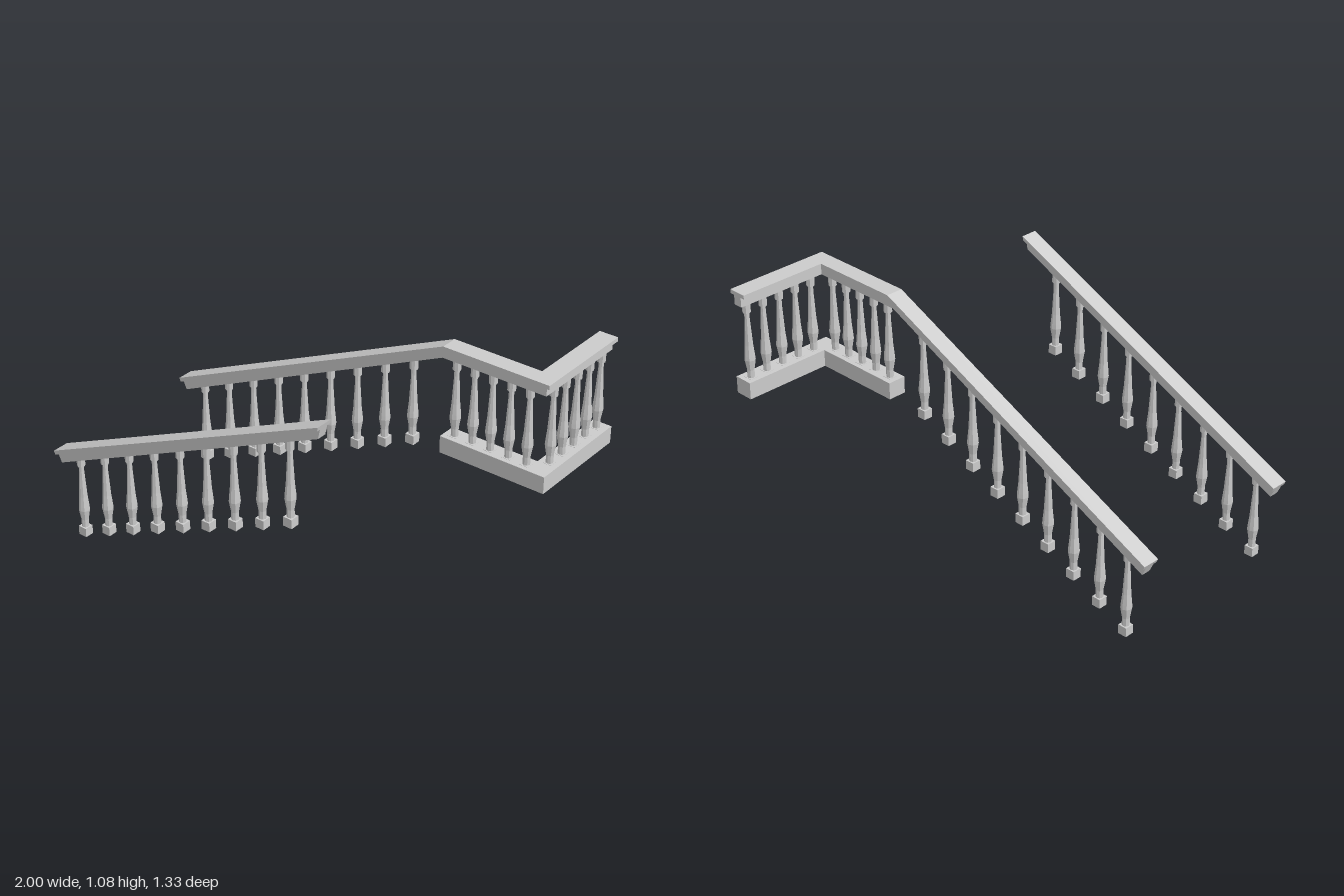
import * as THREE from 'three';

const RISE = 0.456;                    // slope of the stair rails
const ANGLE = Math.atan(RISE);
const BACK_Z = -0.194, FRONT_Z = 0.623, SIDE_X = 0.952;
const CAP_T = 0.019, RAIL_T = 0.065;   // depth of the cap, and of cap plus under-rail

export function createModel() {
  const model = new THREE.Group();
  const mat = new THREE.MeshStandardMaterial({ color: 0xcccccc, flatShading: true });

  const add = (parent, name, geo, x = 0, y = 0, z = 0) => {
    const mesh = new THREE.Mesh(geo, mat);
    mesh.name = name;
    mesh.position.set(x, y, z);
    parent.add(mesh);
    return mesh;
  };
  // Box given by its limits
  const box = (parent, name, x0, x1, y0, y1, z0, z1) =>
    add(parent, name, new THREE.BoxGeometry(x1 - x0, y1 - y0, z1 - z0),
      (x0 + x1) / 2, (y0 + y1) / 2, (z0 + z1) / 2);

  // Line of the rail at depth t below its top, square-cut at the foot, mitred at the bend
  const railLine = (t, endX) => {
    const pts = [
      [-1 + t * Math.sin(ANGLE), 0.405 - t * Math.cos(ANGLE)],
      [0.48 - t * Math.tan(ANGLE / 2), 1.08 - t],
    ];
    if (endX) pts.push([endX, 1.08 - t]);
    return pts;
  };
  const strip = (parent, name, t0, t1, width, z, endX) => {
    const outline = [...railLine(t1, endX), ...railLine(t0, endX).reverse()];
    const shape = new THREE.Shape(outline.map(p => new THREE.Vector2(...p)));
    add(parent, name, new THREE.ExtrudeGeometry(shape, { depth: width, bevelEnabled: false }),
      0, 0, z - width / 2);
  };

  // Turned baluster on a square foot
  const profile = [[0, 0.04], [0.0165, 0.04], [0.0165, 0.08], [0.025, 0.13], [0.0235, 0.15],
    [0.0185, 0.2], [0.0115, 0.33], [0.0115, 0.359], [0.0185, 0.359], [0.0185, 0.41], [0, 0.41]];
  const turned = new THREE.LatheGeometry(profile.map(p => new THREE.Vector2(...p)), 8);
  const foot = new THREE.BoxGeometry(0.043, 0.043, 0.043);
  const baluster = (parent, x, y, z) => {
    const g = new THREE.Group();
    g.name = 'baluster';
    g.position.set(x, y, z);
    add(g, 'balusterShaft', turned);
    add(g, 'balusterFoot', foot, 0, 0.0215, 0);
    parent.add(g);
  };

  // The two stair rails; the back one runs on along the landing
  for (const [name, z, capEnd, underEnd] of [
    ['frontRailing', FRONT_Z, 0, 0], ['backRailing', BACK_Z, 0.997, 0.974]]) {
    const rail = new THREE.Group();
    rail.name = name;
    strip(rail, 'handrailCap', 0, CAP_T, 0.081, z, capEnd);
    strip(rail, 'underRail', CAP_T, RAIL_T, 0.045, z, underEnd);
    for (let i = 0; i < 9; i++) baluster(rail, -0.877 + i * 0.148, i * 0.148 * RISE, z);
    model.add(rail);
  }

  // Landing: L-shaped curb, return rail and balusters
  const landing = new THREE.Group();
  landing.name = 'landingRailing';
  const curb = new THREE.Shape([[0.48, 0.151], [1, 0.151], [1, 0.665], [0.91, 0.665],
    [0.91, 0.239], [0.48, 0.239]].map(p => new THREE.Vector2(...p)));
  add(landing, 'curb', new THREE.ExtrudeGeometry(curb, { depth: 0.08, bevelEnabled: false }),
    0, 0.574, 0).rotation.x = -Math.PI / 2;
  box(landing, 'returnCap', 0.908, 0.997, 1.08 - CAP_T, 1.08, -0.665, BACK_Z - 0.0405);
  box(landing, 'returnUnderRail', 0.93, 0.974, 1.08 - RAIL_T, 1.08 - CAP_T, -0.665, BACK_Z - 0.0225);
  for (let i = 0; i < 5; i++) {
    baluster(landing, 0.525 + i * 0.09, 0.612, BACK_Z);
    baluster(landing, SIDE_X, 0.612, -0.264 - i * 0.0895);
  }
  model.add(landing);
  return model;
}
